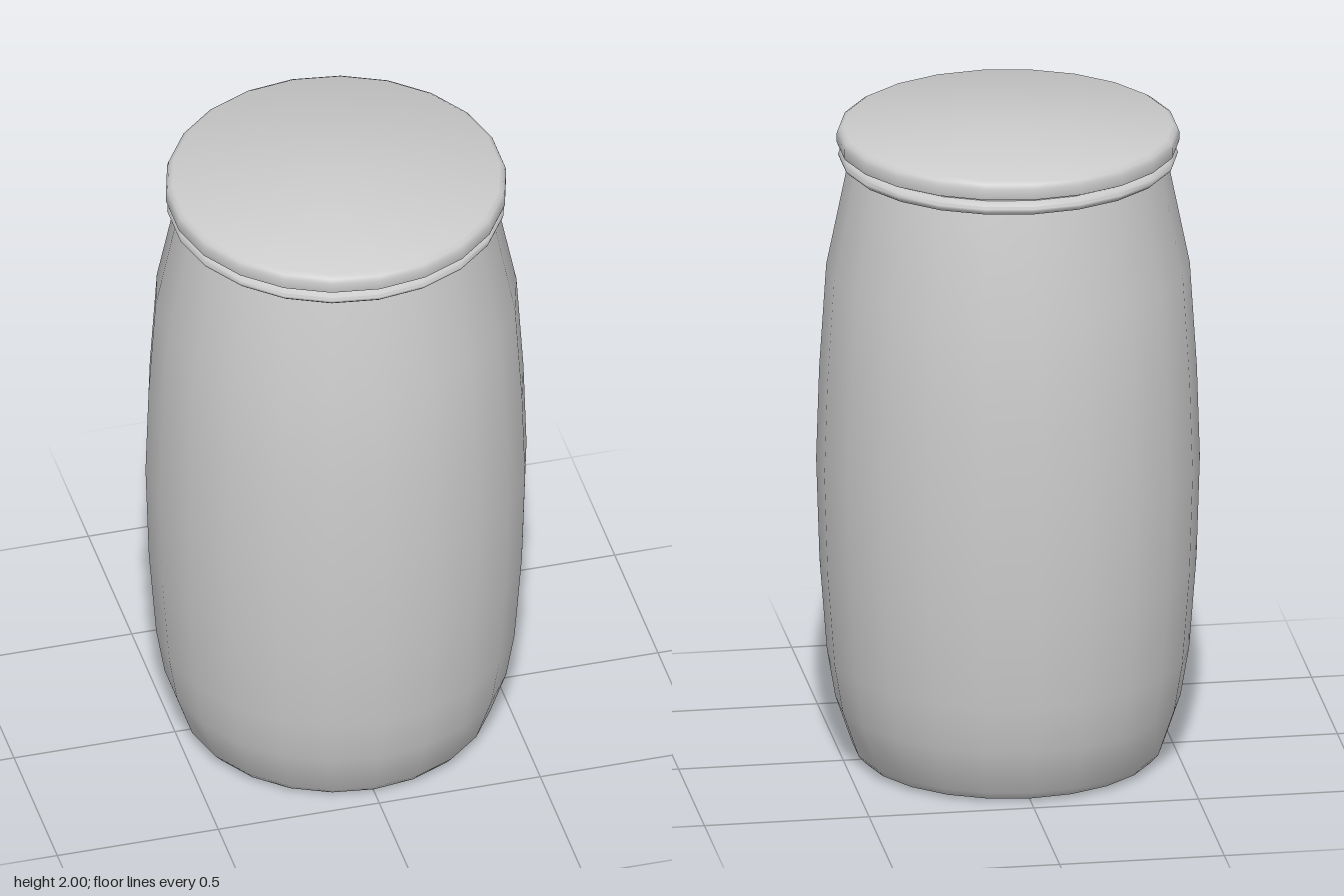
import * as THREE from 'three';
import { toCreasedNormals } from 'three/addons/utils/BufferGeometryUtils.js';

const SIDES = 22;
const material = new THREE.MeshStandardMaterial({ color: 0xcccccc });

// Turned part from a [radius, height] profile, listed from bottom to top
function turned(name, profile) {
  const points = profile.map(([r, y]) => new THREE.Vector2(r, y));
  const lathe = new THREE.LatheGeometry(points, SIDES);
  lathe.scale(1.01, 1, 1); // equal width and depth despite the even side count
  const mesh = new THREE.Mesh(toCreasedNormals(lathe, THREE.MathUtils.degToRad(50)), material);
  mesh.name = name;
  return mesh;
}

export function createModel() {
  const jar = new THREE.Group();
  jar.name = 'jar';

  // Bulging body with a bevelled foot, narrowing to the neck
  jar.add(turned('body', [
    [0, 0], [0.41, 0], [0.443, 0.01], [0.464, 0.035], [0.513, 0.18], [0.538, 0.33],
    [0.56, 0.62], [0.57, 0.94], [0.561, 1.23], [0.54, 1.56], [0.474, 1.89],
  ]));

  // Neck between the body and the lid
  jar.add(turned('neck', [[0.474, 1.89], [0.477, 1.95]]));

  // Rounded bead around the neck
  jar.add(turned('neckRing', [
    [0.47, 1.89], [0.491, 1.892], [0.502, 1.902], [0.505, 1.911],
    [0.502, 1.92], [0.491, 1.929], [0.47, 1.931],
  ]));

  // Flat lid with a softened rim
  jar.add(turned('lid', [
    [0, 1.94], [0.485, 1.94], [0.507, 1.944], [0.509, 1.95], [0.509, 1.977],
    [0.504, 1.991], [0.49, 2], [0, 2],
  ]));

  return jar;
}
